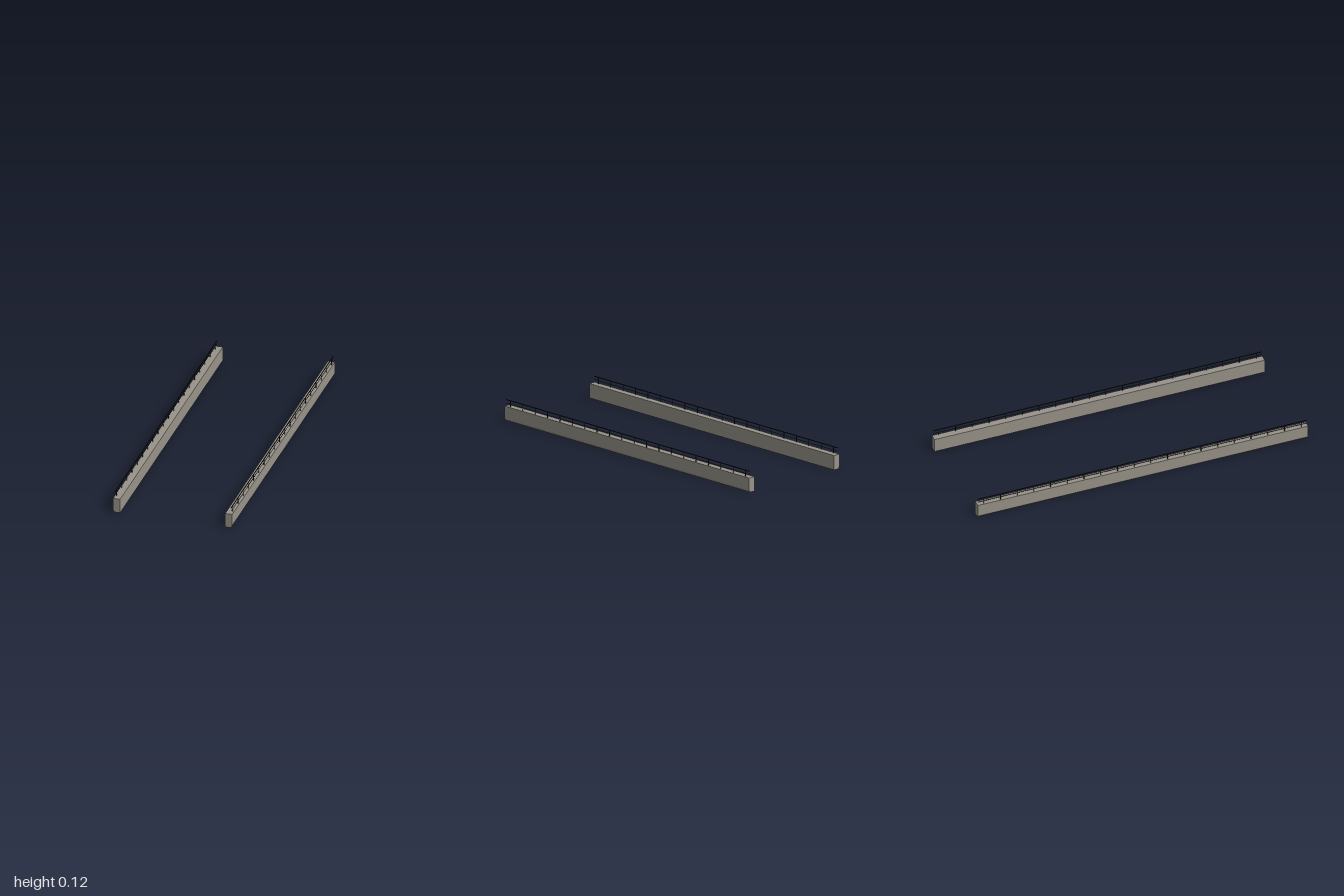
import * as THREE from 'three';

const LENGTH = 1.937, HALF = 0.02, DECK = 0.082;

export function createModel() {
  const model = new THREE.Group();
  const concrete = new THREE.MeshStandardMaterial({ color: 0x99948a, flatShading: true });
  const metal = new THREE.MeshStandardMaterial({ color: 0x1c1c1c });

  function box(parent, name, w, h, d, x, y, z) {
    const mesh = new THREE.Mesh(new THREE.BoxGeometry(w, h, d), metal);
    mesh.name = name;
    mesh.position.set(x, y, z);
    parent.add(mesh);
  }

  function makeWall() {
    const wall = new THREE.Group();

    // long beam, its outer bottom edge bevelled
    const section = new THREE.Shape([
      [-HALF, 0], [HALF - 0.008, 0], [HALF, 0.013], [HALF, DECK], [-HALF, DECK],
    ].map(([x, y]) => new THREE.Vector2(x, y)));
    const geometry = new THREE.ExtrudeGeometry(section, { depth: LENGTH, bevelEnabled: false });
    geometry.translate(0, 0, -LENGTH / 2);
    const beam = new THREE.Mesh(geometry, concrete);
    beam.name = 'beam';
    wall.add(beam);

    // railing along the outer side of the top
    const railing = new THREE.Group();
    railing.name = 'railing';
    const x = 0.012, posts = 20, spacing = 0.098;
    box(railing, 'topRail', 0.004, 0.004, LENGTH - 0.01, x, 0.118, 0);
    box(railing, 'middleRail', 0.002, 0.002, LENGTH - 0.01, x, 0.099, 0);
    for (let i = 0; i < posts; i++) {
      const z = (i - (posts - 1) / 2) * spacing;
      box(railing, 'railPost', 0.003, 0.118 - DECK, 0.003, x, (0.118 + DECK) / 2, z);
    }
    wall.add(railing);
    return wall;
  }

  // two parallel walls, railings facing outward
  for (const side of [1, -1]) {
    const wall = makeWall();
    wall.name = side > 0 ? 'leftWall' : 'rightWall';
    wall.position.set(0.27 * side, 0, -0.17 * side);
    wall.rotation.y = Math.atan2(1.03, 1.64) + (side > 0 ? 0 : Math.PI);
    model.add(wall);
  }
  return model;
}
